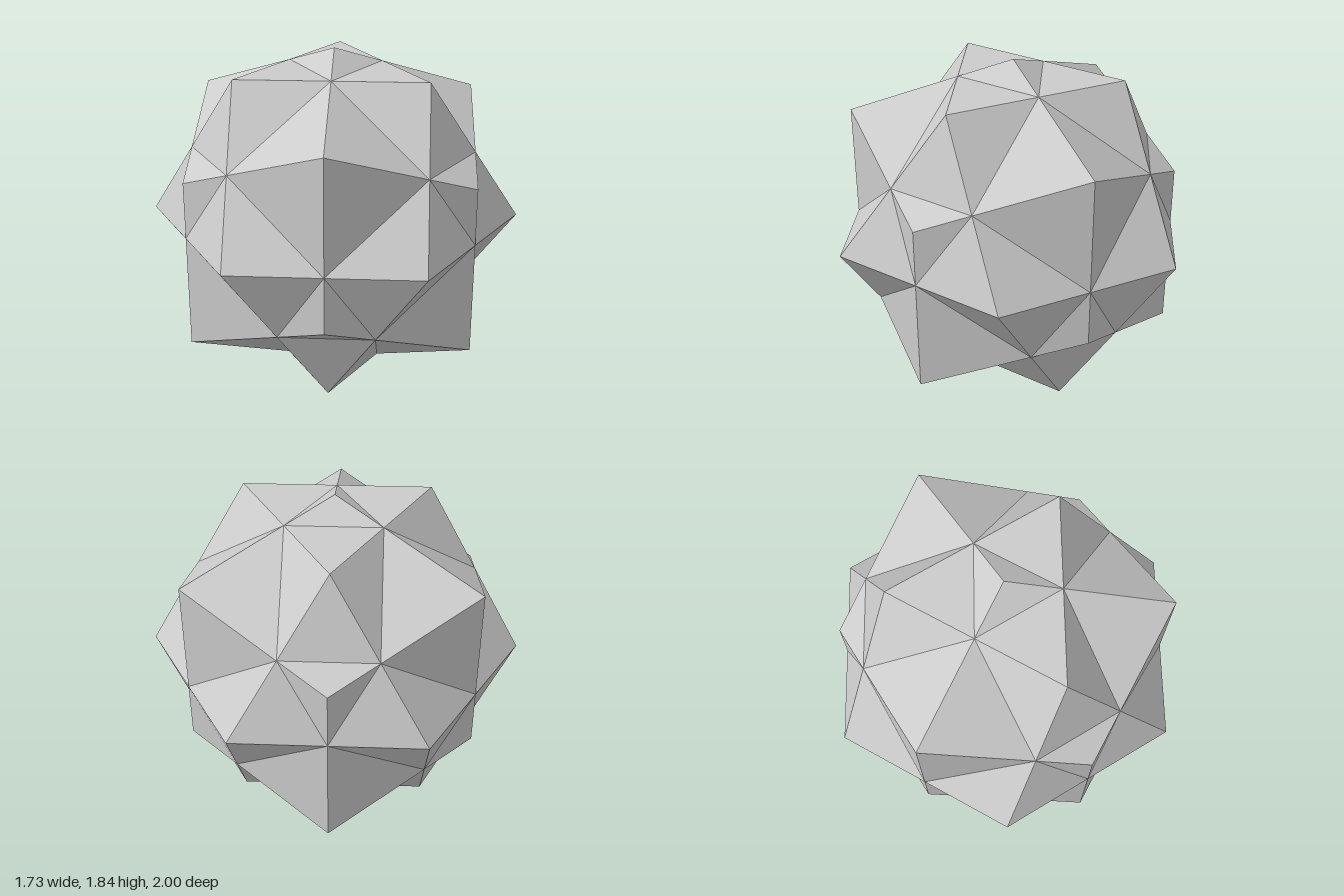
import * as THREE from 'three';

// Compound of a cuboctahedron and its dual rhombic dodecahedron, standing on a three-fold corner.
const UNIT = 0.75 / Math.SQRT2;      // half edge of the cube inside the dodecahedron
const HEIGHT = UNIT * Math.sqrt(3);  // centre height

// All distinct permutations and sign changes of a coordinate triple
function orbit(a, b, c) {
  const found = new Map();
  for (const p of [[a, b, c], [b, c, a], [c, a, b]])
    for (const sx of [1, -1]) for (const sy of [1, -1]) for (const sz of [1, -1]) {
      const v = new THREE.Vector3(p[0] * sx, p[1] * sy, p[2] * sz);
      found.set(v.toArray().map((n) => Math.round(n * 100)).join(), v);
    }
  return [...found.values()];
}

// Tip the cubic axes so that a cube corner points straight up
const toUpright = new THREE.Matrix4().makeBasis(
  new THREE.Vector3(1, 1, -2).normalize(),
  new THREE.Vector3(1, 1, 1).normalize(),
  new THREE.Vector3(1, -1, 0).normalize()
).transpose();

// Points where the edges of the two solids cross
const crossings = orbit(4 / 3, 2 / 3, 2 / 3);

// One open pyramid per apex, rising from its ring of nearest crossings
function spikes(name, apexes) {
  const points = [];
  for (const apex of apexes) {
    const reach = Math.max(...crossings.map((c) => c.dot(apex)));
    const ring = crossings.filter((c) => c.dot(apex) > reach - 0.01);
    const axis = apex.clone().normalize();
    const u = ring[0].clone().projectOnPlane(axis).normalize();
    const w = axis.clone().cross(u);
    const angle = (p) => Math.atan2(p.dot(w), p.dot(u));
    ring.sort((p, q) => angle(p) - angle(q));
    ring.forEach((p, i) => points.push(apex, p, ring[(i + 1) % ring.length]));
  }
  const geometry = new THREE.BufferGeometry().setFromPoints(points);
  geometry.applyMatrix4(toUpright);
  geometry.scale(UNIT, UNIT, UNIT);
  geometry.translate(0, HEIGHT, 0);
  geometry.computeVertexNormals();
  const mesh = new THREE.Mesh(
    geometry,
    new THREE.MeshStandardMaterial({ color: 0xcccccc, flatShading: true })
  );
  mesh.name = name;
  return mesh;
}

export function createModel() {
  const group = new THREE.Group();
  group.name = 'polyhedronCompound';
  group.add(
    spikes('cuboctahedronCorners', orbit(4 / 3, 4 / 3, 0)),
    spikes('dodecahedronFourSidedCorners', orbit(2, 0, 0)),
    spikes('dodecahedronThreeSidedCorners', orbit(1, 1, 1))
  );
  return group;
}
